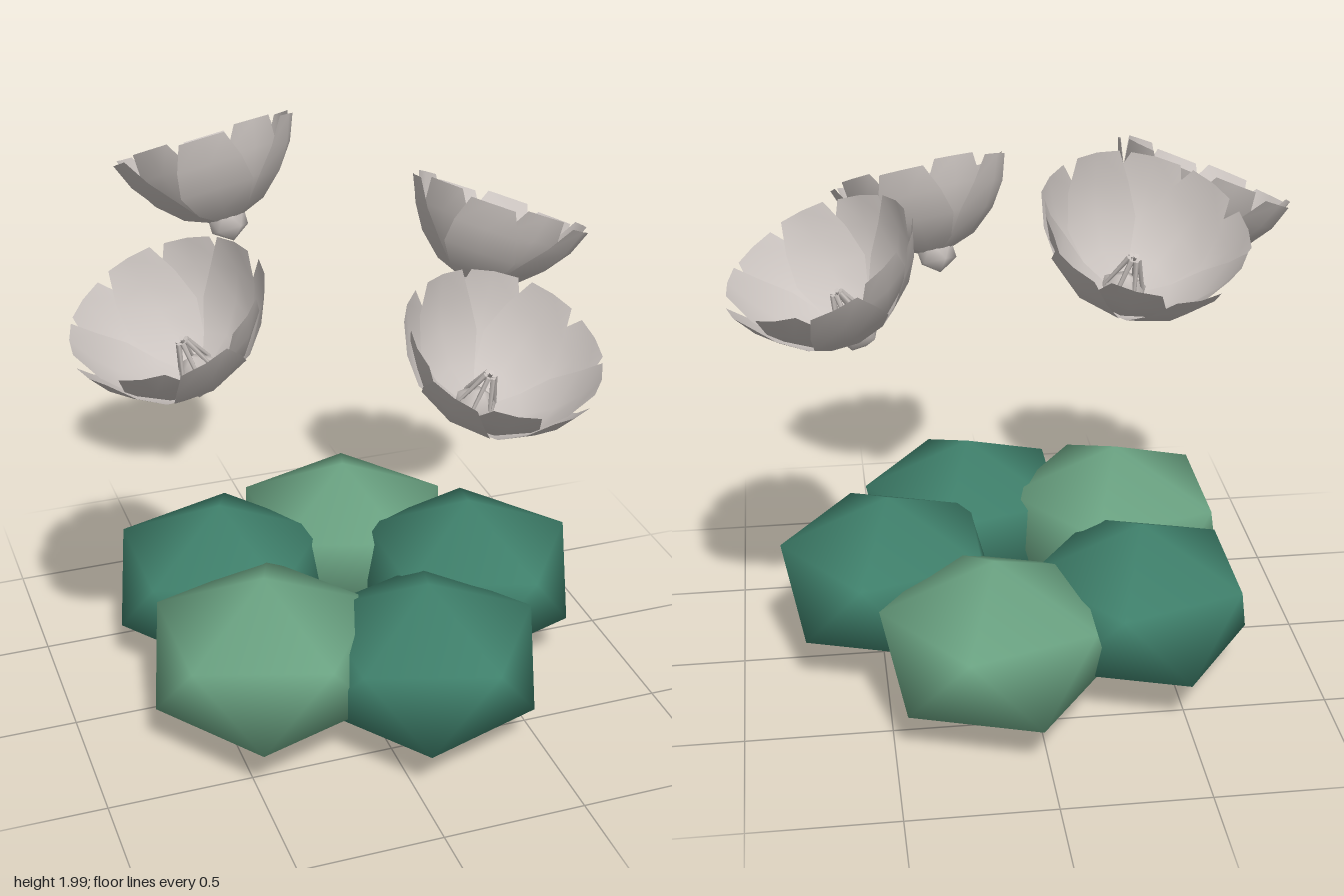
import * as THREE from 'three';
import { mergeVertices } from 'three/addons/utils/BufferGeometryUtils.js';

const teal = new THREE.MeshStandardMaterial({ color: 0x40826d });
teal.name = 'dark leaf green';
const sage = new THREE.MeshStandardMaterial({ color: 0x6ca584 });
sage.name = 'light leaf green';
const petalGrey = new THREE.MeshStandardMaterial({ color: 0xcbc4c0, side: THREE.DoubleSide });
petalGrey.name = 'petal grey';

// Smooth icosahedron standing on a point, one upper corner toward +x
function smoothIco() {
  let g = new THREE.IcosahedronGeometry(1, 0);
  g.deleteAttribute('uv');
  g.deleteAttribute('normal');
  g = mergeVertices(g, 1e-3);
  g.rotateX(-Math.atan((1 + Math.sqrt(5)) / 2));
  g.rotateY(Math.PI / 2);
  g.computeVertexNormals();
  return g;
}

// Cupped petal: rows of [radius, height, half angle in degrees]
function petalGeometry() {
  const rows = [[0.03, 0.07, 36], [0.15, 0.115, 36], [0.235, 0.19, 33], [0.29, 0.275, 23], [0.325, 0.365, 14]];
  const pos = [], index = [];
  rows.forEach(([r, h, deg], i) => {
    for (let j = 0; j < 3; j++) {
      const a = THREE.MathUtils.degToRad(deg) * (j - 1);
      pos.push(r * Math.cos(a), h, r * Math.sin(a));
      if (i && j) {
        const d = i * 3 + j, c = d - 1, b = d - 3, e = d - 4;
        index.push(e, c, b, b, c, d);
      }
    }
  });
  const g = new THREE.BufferGeometry();
  g.setAttribute('position', new THREE.Float32BufferAttribute(pos, 3));
  g.setIndex(index);
  g.computeVertexNormals();
  return g;
}

export function createModel() {
  const model = new THREE.Group();
  const ico = smoothIco();
  const petalGeo = petalGeometry();
  const stamenGeo = new THREE.CylinderGeometry(0.009, 0.006, 0.13, 5);

  const add = (parent, geo, mat, name) => {
    const m = new THREE.Mesh(geo, mat);
    m.name = name;
    parent.add(m);
    return m;
  };

  // Ring of five leafy clumps: [centre height, radius, material]
  [[0.331, 0.425, teal], [0.31, 0.428, teal], [0.331, 0.438, sage], [0.317, 0.425, teal], [0.302, 0.432, sage]]
    .forEach(([y, r, mat], i) => {
      const a = i * Math.PI * 2 / 5;
      const clump = add(model, ico, mat, 'leafClump');
      clump.position.set(0.47 * Math.cos(a), y, 0.47 * Math.sin(a));
      clump.scale.set(r, r * 0.7, r);
    });

  // Four cup flowers leaning outward
  [1.25, 1.343, 1.518, 1.306].forEach((y, i) => {
    const a = THREE.MathUtils.degToRad(67 + 90 * i);
    const flower = new THREE.Group();
    flower.name = 'flower';
    flower.position.set(0.58 * Math.cos(a), y, 0.58 * Math.sin(a));
    flower.rotation.set(0, -a, -0.44, 'YXZ');
    model.add(flower);

    const heart = add(flower, ico, petalGrey, 'flowerBase');
    heart.position.y = 0.077;
    heart.scale.setScalar(0.077);

    // Outer and inner rings of five petals
    for (let k = 0; k < 10; k++) {
      const inner = k % 2;
      const petal = add(flower, petalGeo, petalGrey, inner ? 'innerPetal' : 'outerPetal');
      petal.rotation.y = k * Math.PI / 5;
      if (inner) petal.scale.set(0.96, 1.04, 0.96);
    }

    // Stamens leaning together over the base
    for (let k = 0; k < 6; k++) {
      const ring = new THREE.Group();
      ring.name = 'stamenHolder';
      ring.rotation.y = k * Math.PI / 3;
      flower.add(ring);
      const stamen = add(ring, stamenGeo, petalGrey, 'stamen');
      stamen.position.set(0.037, 0.165, 0);
      stamen.rotation.z = 0.35;
    }
  });
  return model;
}
